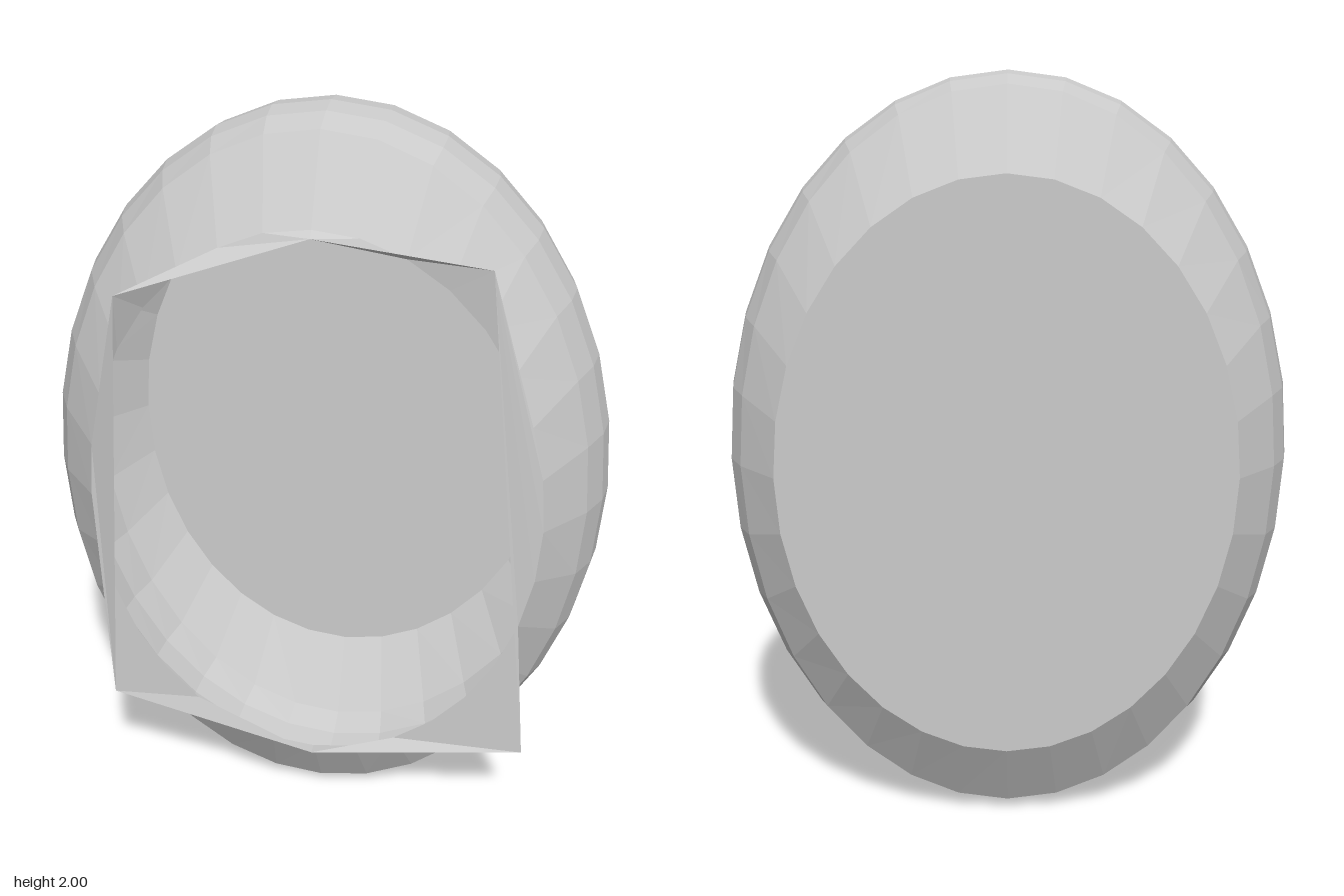
import * as THREE from 'three';

const SEG = 32;
const CENTER_Y = 1.003;
const material = new THREE.MeshStandardMaterial({ color: 0xcccccc, flatShading: true, side: THREE.DoubleSide });

// Cross-sections from back to front: [z offset, x radius, y radius]
const SECTIONS = [
  [-0.26, 0.59, 0.762], [-0.145, 0.695, 0.967], [-0.07, 0.733, 0.99], [0, 0.746, 0.998],
  [0.07, 0.733, 0.99], [0.145, 0.695, 0.967], [0.262, 0.59, 0.764],
];

// Point on an oval section, with the whole drum leaning slightly
function ringPoint([z, rx, ry], i) {
  const a = (i / SEG) * Math.PI * 2;
  const x = rx * Math.cos(a), y = ry * Math.sin(a);
  return [x, CENTER_Y + y, z - 0.022 - 0.015 * x - 0.008 * y];
}

function meshFrom(name, triangles) {
  const geometry = new THREE.BufferGeometry();
  geometry.setAttribute('position', new THREE.Float32BufferAttribute(triangles.flat(2), 3));
  geometry.computeVertexNormals();
  const mesh = new THREE.Mesh(geometry, material);
  mesh.name = name;
  return mesh;
}

export function createModel() {
  const group = new THREE.Group();
  group.name = 'ovalBasin';

  // Bulging side wall
  const wall = [];
  for (let s = 0; s < SECTIONS.length - 1; s++) {
    for (let i = 0; i < SEG; i++) {
      const a = ringPoint(SECTIONS[s], i), b = ringPoint(SECTIONS[s], i + 1);
      const c = ringPoint(SECTIONS[s + 1], i + 1), d = ringPoint(SECTIONS[s + 1], i);
      wall.push([a, b, c], [a, c, d]);
    }
  }
  group.add(meshFrom('sideWall', wall));

  // Flat back panel
  const back = [];
  const hub = [0, CENTER_Y, SECTIONS[0][0] - 0.022];
  for (let i = 0; i < SEG; i++) {
    back.push([hub, ringPoint(SECTIONS[0], i + 1), ringPoint(SECTIONS[0], i)]);
  }
  group.add(meshFrom('backPanel', back));

  // Uneven six-cornered lip, joined to the front opening.
  // Each corner takes the rim segments up to its last index, counter-clockwise from +x.
  const corners = [
    { p: [0.43, 1.70, 0.245], last: 6 },
    { p: [0, 1.75, 0.25], last: 10 },
    { p: [-0.475, 1.59, 0.292], last: 15 },
    { p: [-0.57, 0.36, 0.255], last: 21 },
    { p: [0, 0.243, 0.282], last: 26 },
    { p: [0.58, 0.295, 0.24], last: 30 },
  ];
  const rim = SECTIONS[SECTIONS.length - 1];
  const lip = [];
  let start = -2;
  corners.forEach(({ p, last }, k) => {
    for (let i = start; i < last; i++) lip.push([ringPoint(rim, i), ringPoint(rim, i + 1), p]);
    lip.push([ringPoint(rim, last), corners[(k + 1) % corners.length].p, p]);
    start = last;
  });
  group.add(meshFrom('frontLip', lip));

  return group;
}
